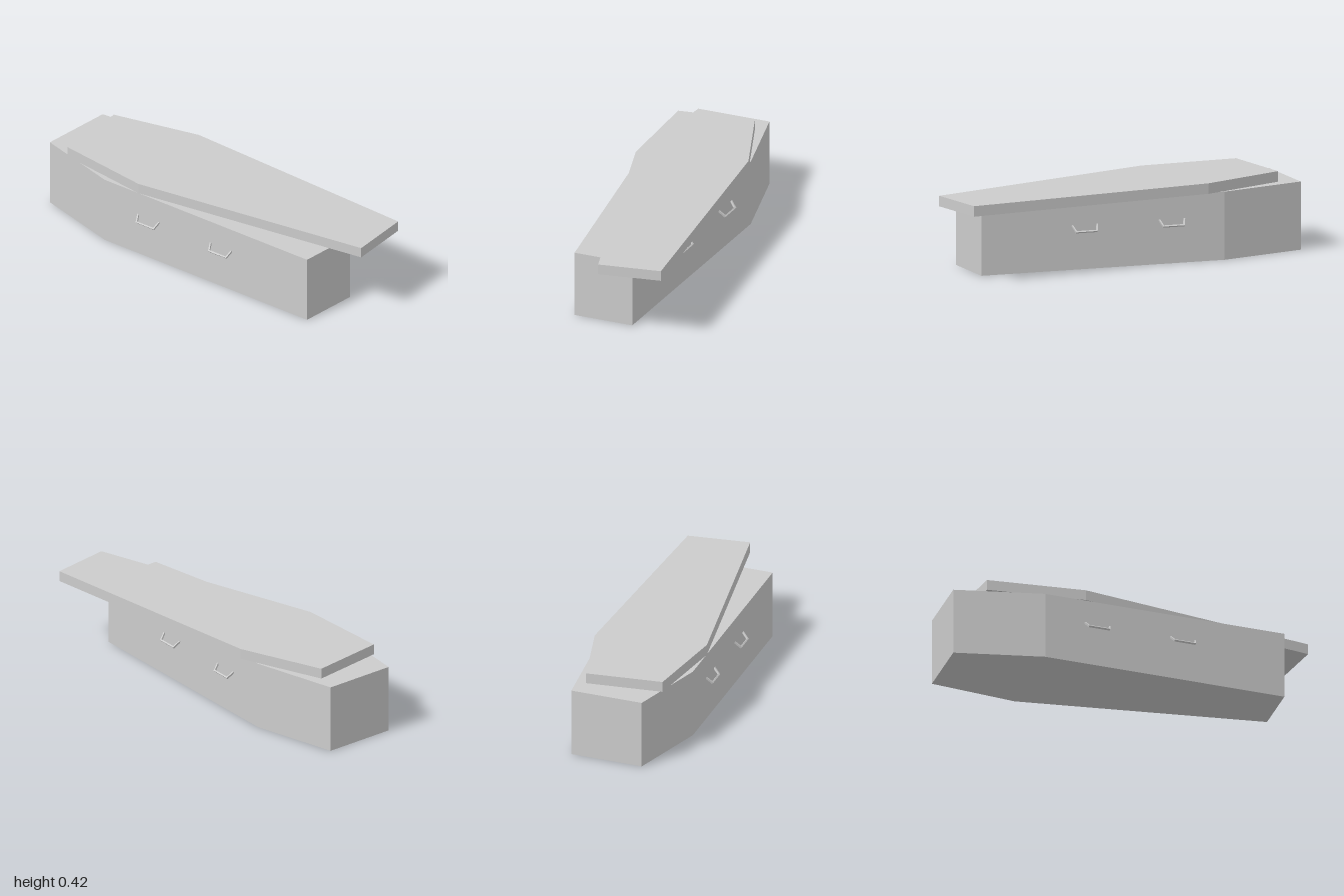
import * as THREE from 'three';

// Upright prism from a plan outline of [x, z] points
function prism(name, outline, y, height, material) {
  const shape = new THREE.Shape(outline.map(([x, z]) => new THREE.Vector2(x, -z)));
  const geometry = new THREE.ExtrudeGeometry(shape, { depth: height, bevelEnabled: false });
  geometry.rotateX(-Math.PI / 2);
  const mesh = new THREE.Mesh(geometry, material);
  mesh.name = name;
  mesh.position.y = y;
  return mesh;
}

// Flat U-shaped pull: open towards the box, grip on the outer side
function handleGeometry() {
  const depth = 0.01;
  const points = [
    [-0.073, 0], [-0.059, 0.046], [0.059, 0.046], [0.073, 0],
    [0.065, 0], [0.053, 0.038], [-0.053, 0.038], [-0.065, 0],
  ];
  const shape = new THREE.Shape(points.map(([x, y]) => new THREE.Vector2(x, y)));
  const geometry = new THREE.ExtrudeGeometry(shape, { depth, bevelEnabled: false });
  return geometry.translate(0, 0, -depth / 2);
}

export function createModel() {
  const model = new THREE.Group();
  model.name = 'coffin';
  const grey = new THREE.MeshStandardMaterial({ color: 0xcccccc });
  grey.name = 'plain grey';

  // Tapered six-sided box
  const shoulderZ = -0.525, footZ = 0.81;
  const body = [[-0.245, -1], [0.155, -1], [0.243, shoulderZ], [0.12, footZ], [-0.205, footZ], [-0.33, shoulderZ]];
  model.add(prism('body', body, 0, 0.362, grey));

  // Lid pushed askew on top
  const lid = [[-0.29, -0.83], [0.12, -0.886], [0.273, -0.42], [0.338, 0.95], [0.005, 1], [-0.312, -0.3]];
  model.add(prism('lid', lid, 0.364, 0.056, grey));

  // Two handles on each long side, hanging outwards at 45 degrees
  const geometry = handleGeometry();
  for (const [side, shoulderX, footX] of [[1, 0.243, 0.12], [-1, -0.33, -0.205]]) {
    const along = new THREE.Vector3(footX - shoulderX, 0, footZ - shoulderZ).normalize();
    const outward = new THREE.Vector3(along.z * side, 0, -along.x * side);
    const down = outward.clone().add(new THREE.Vector3(0, -1, 0)).normalize();
    const normal = along.clone().cross(down);
    for (const z of [-0.235, 0.243]) {
      const handle = new THREE.Mesh(geometry, grey);
      handle.name = (side > 0 ? 'left' : 'right') + (z > 0 ? 'FrontHandle' : 'BackHandle');
      const t = (z - shoulderZ) / (footZ - shoulderZ);
      handle.quaternion.setFromRotationMatrix(new THREE.Matrix4().makeBasis(along, down, normal));
      handle.position.set(THREE.MathUtils.lerp(shoulderX, footX, t), 0.234, z);
      model.add(handle);
    }
  }
  return model;
}
